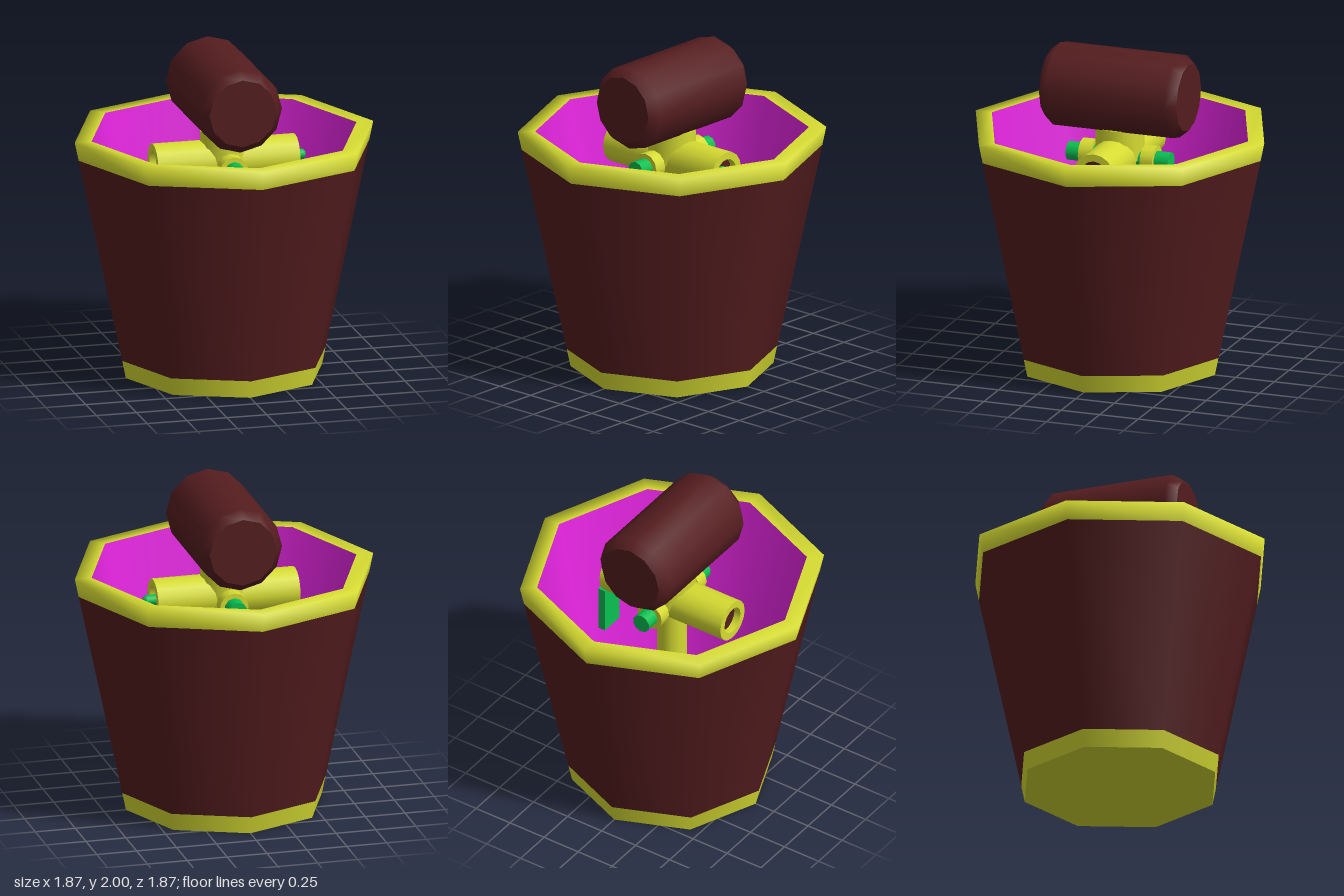
import * as THREE from 'three';

const mat = (color) => new THREE.MeshStandardMaterial({ color });
const brown = mat(0x551d1f), yellow = mat(0xd6dc32), magenta = mat(0xe024dc), green = mat(0x08c050);
const SIDES = 8;

export function createModel() {
  const model = new THREE.Group();

  const add = (name, geometry, material, x = 0, y = 0, z = 0) => {
    const mesh = new THREE.Mesh(geometry, material);
    mesh.name = name;
    mesh.position.set(x, y, z);
    model.add(mesh);
    return mesh;
  };
  const lathe = (points, sides) =>
    new THREE.LatheGeometry(points.map(([r, y]) => new THREE.Vector2(r, y)), sides);
  // eight-sided disc with corners on the axes
  const disc = (r, up) => new THREE.CircleGeometry(r, SIDES).rotateX(up ? -Math.PI / 2 : Math.PI / 2);

  // tapered bucket
  add('bucketBase', lathe([[0.615, 0], [0.638, 0.11]], SIDES), yellow);
  add('bucketBottom', disc(0.615, false), yellow);
  add('bucketWall', lathe([[0.638, 0.11], [0.911, 1.39]], SIDES), brown);
  add('bucketRim', lathe([[0.911, 1.39], [0.935, 1.505], [0.83, 1.505]], SIDES), yellow);
  add('bucketLining', lathe([[0.83, 1.505], [0.54, 0.13]], SIDES), magenta);
  add('bucketFloor', disc(0.54, true), magenta, 0, 0.13);

  // bevelled grip lying front to back
  const grip = lathe([[0, -0.445], [0.21, -0.445], [0.21, -0.445], [0.26, -0.385],
    [0.26, 0.385], [0.21, 0.445], [0.21, 0.445], [0, 0.445]], 12).rotateX(Math.PI / 2);
  add('grip', grip, brown, 0, 1.74);

  // central post and the collar under the grip
  add('post', new THREE.CylinderGeometry(0.09, 0.09, 1.3, 12), yellow, 0, 0.75);
  add('collar', new THREE.CylinderGeometry(0.15, 0.15, 0.2, 12), yellow, 0, 1.42);

  // hollow crossways tube with a recessed core
  const tube = lathe([[0.085, -0.445], [0.13, -0.445], [0.13, -0.445], [0.13, 0.445],
    [0.13, 0.445], [0.085, 0.445], [0.085, 0.445], [0.085, -0.445]], 16).rotateZ(-Math.PI / 2);
  add('crossTube', tube, yellow, 0, 1.33);
  add('tubeCore', new THREE.CylinderGeometry(0.085, 0.085, 0.8, 16).rotateZ(Math.PI / 2), brown, 0, 1.33);

  // thin axle running front to back, with yellow sleeves
  add('axle', new THREE.CylinderGeometry(0.06, 0.06, 0.66, 10).rotateX(Math.PI / 2), green, 0, 1.32);
  for (const s of [-1, 1]) {
    add('axleSleeve', new THREE.CylinderGeometry(0.09, 0.09, 0.08, 12).rotateX(Math.PI / 2),
      yellow, 0, 1.32, s * 0.2);
    // paired straps beside the tube end
    add('strap', new THREE.BoxGeometry(0.05, 0.3, 0.045), green, 0.465, 1.06, s * 0.053);
  }

  // pin through the left end of the tube
  add('pin', new THREE.CylinderGeometry(0.033, 0.033, 0.12, 10).rotateZ(Math.PI / 2), green, 0.43, 1.33);
  add('pinHead', new THREE.SphereGeometry(0.033, 10, 8), green, 0.48, 1.33);
  add('strapBridge', new THREE.BoxGeometry(0.04, 0.3, 0.07), green, 0.46, 1.06);

  return model;
}
